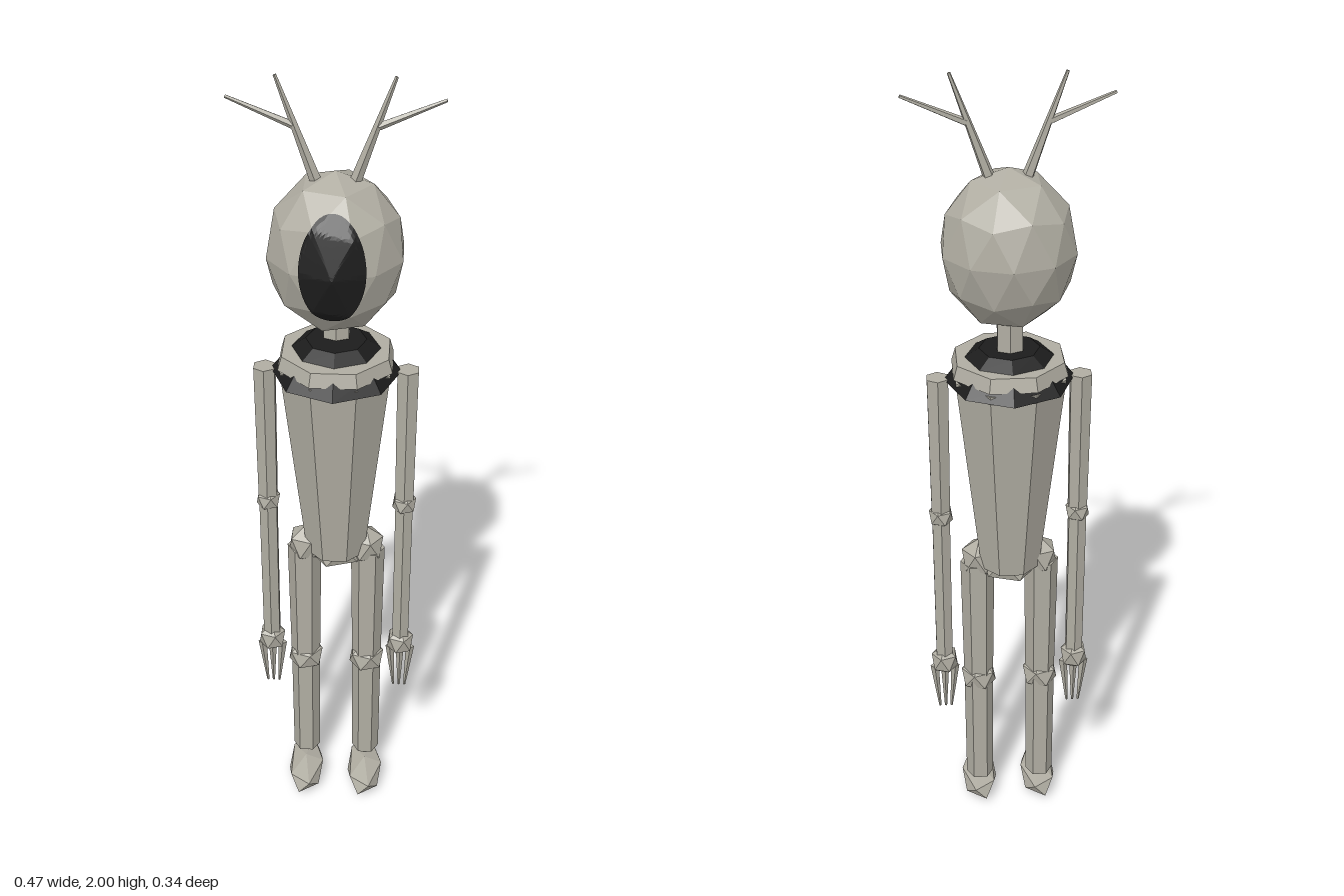
import * as THREE from 'three';

const bone = new THREE.MeshStandardMaterial({ name: 'bone grey', color: 0xb0ada2, flatShading: true });
const black = new THREE.MeshStandardMaterial({ name: 'black', color: 0x1c1c1c, flatShading: true });

// Icosphere with a corner pointing straight up
function ico(detail, sx, sy, sz) {
  const g = new THREE.IcosahedronGeometry(1, detail);
  g.rotateX(-Math.atan((1 + Math.sqrt(5)) / 2));
  g.rotateY(Math.PI / 2);
  return g.scale(sx, sy, sz);
}

export function createModel() {
  const root = new THREE.Group();
  root.name = 'antleredFigure';

  function add(name, geo, mat, x = 0, y = 0, z = 0, parent = root) {
    const m = new THREE.Mesh(geo, mat);
    m.name = name;
    m.position.set(x, y, z);
    parent.add(m);
    return m;
  }

  // Tapered rod running from point a to point b
  function rod(name, a, b, ra, rb, sides, parent, turn = 0) {
    const A = new THREE.Vector3(...a), B = new THREE.Vector3(...b);
    const dir = B.clone().sub(A);
    const g = new THREE.CylinderGeometry(rb, ra, dir.length(), sides);
    g.rotateY(turn);
    const m = add(name, g, bone, 0, 0, 0, parent);
    m.position.copy(A).add(B).multiplyScalar(0.5);
    m.quaternion.setFromUnitVectors(new THREE.Vector3(0, 1, 0), dir.normalize());
    return m;
  }

  // Head
  const headGeo = ico(1, 0.16, 0.19, 0.155);
  add('head', headGeo, bone, 0, 1.6, 0.013);

  // Face: oval plate laid on the head's front facets
  const p = headGeo.attributes.position;
  const planes = [];
  for (let i = 0; i < p.count; i += 3) {
    const [a, b, c] = [0, 1, 2].map(k => new THREE.Vector3().fromBufferAttribute(p, i + k));
    const plane = new THREE.Plane().setFromCoplanarPoints(a, b, c);
    if (plane.normal.z > 0.05) planes.push(plane);
  }
  const faceGeo = new THREE.RingGeometry(0.001, 1, 48, 16);
  faceGeo.scale(0.074, 0.125, 1);
  faceGeo.translate(0, 0.009, 0);
  const f = faceGeo.attributes.position;
  for (let i = 0; i < f.count; i++) {
    const x = f.getX(i), y = f.getY(i);
    const z = Math.min(...planes.map(q => -(q.constant + q.normal.x * x + q.normal.y * y) / q.normal.z));
    f.setZ(i, z + 0.003);
  }
  faceGeo.computeVertexNormals();
  add('face', faceGeo, black, 0, 1.6, 0.013);

  // Neck
  const neckGeo = new THREE.CylinderGeometry(0.034, 0.034, 0.16, 6);
  neckGeo.scale(1, 1, 0.7);
  add('neck', neckGeo, bone, 0, 1.39, -0.024);

  // Collar: black skirt, pale ring, black top
  const frustum = (rt, rb, h, turn = 0) => new THREE.CylinderGeometry(rt, rb, h, 8).rotateY(turn);
  add('collarSkirt', frustum(0.128, 0.16, 0.04).scale(0.97, 1, 1), black, 0, 1.305, -0.008);
  add('collarRing', frustum(0.135, 0.145, 0.034, Math.PI / 8), bone, 0, 1.326, -0.008);
  add('collarTop', frustum(0.072, 0.108, 0.024), black, 0, 1.353, -0.012);

  // Torso and pelvis
  add('torso', frustum(0.14, 0.078, 0.53, Math.PI / 8), bone, 0, 1.035, -0.01);
  add('pelvis', ico(0, 0.078, 0.06, 0.08), bone, 0, 0.776, -0.01);

  for (const s of [1, -1]) {
    const side = s > 0 ? 'left' : 'right';

    // Antler with one side branch
    const antler = new THREE.Group();
    antler.name = side + 'Antler';
    root.add(antler);
    rod('antlerStem', [s * 0.042, 1.765, 0.014], [s * 0.128, 2.0, 0.014], 0.014, 0.004, 5, antler);
    rod('antlerBranch', [s * 0.092, 1.892, 0.014], [s * 0.235, 1.952, 0.014], 0.009, 0.004, 5, antler);

    // Arm
    const arm = new THREE.Group();
    arm.name = side + 'Arm';
    root.add(arm);
    const ax = s * 0.17, az = -0.007;
    rod('upperArm', [ax, 0.91, az], [ax, 1.29, az], 0.026, 0.029, 6, arm);
    add('elbow', ico(0, 0.033, 0.033, 0.036), bone, ax, 0.91, az, arm);
    rod('forearm', [ax, 0.47, az], [ax, 0.91, az], 0.024, 0.025, 6, arm);
    add('hand', ico(0, 0.038, 0.044, 0.038), bone, ax, 0.464, az, arm);
    for (const k of [-1, 0, 1]) {
      rod('finger', [ax + k * 0.027, 0.445, az], [ax + k * 0.015, 0.31, az], 0.011, 0.003, 4, arm);
    }

    // Leg
    const leg = new THREE.Group();
    leg.name = side + 'Leg';
    root.add(leg);
    const lx = s * 0.081;
    add('hip', ico(0, 0.05, 0.055, 0.05), bone, s * 0.075, 0.78, -0.005, leg);
    rod('thigh', [lx, 0.41, -0.006], [lx, 0.77, -0.006], 0.038, 0.043, 6, leg, Math.PI / 6);
    add('knee', ico(0, 0.05, 0.045, 0.05), bone, lx, 0.41, -0.006, leg);
    rod('shin', [lx, 0.08, -0.01], [lx, 0.41, -0.01], 0.036, 0.038, 6, leg, Math.PI / 6);
    add('foot', ico(0, 0.052, 0.036, 0.112), bone, lx, 0.036, 0.032, leg);
  }
  return root;
}
